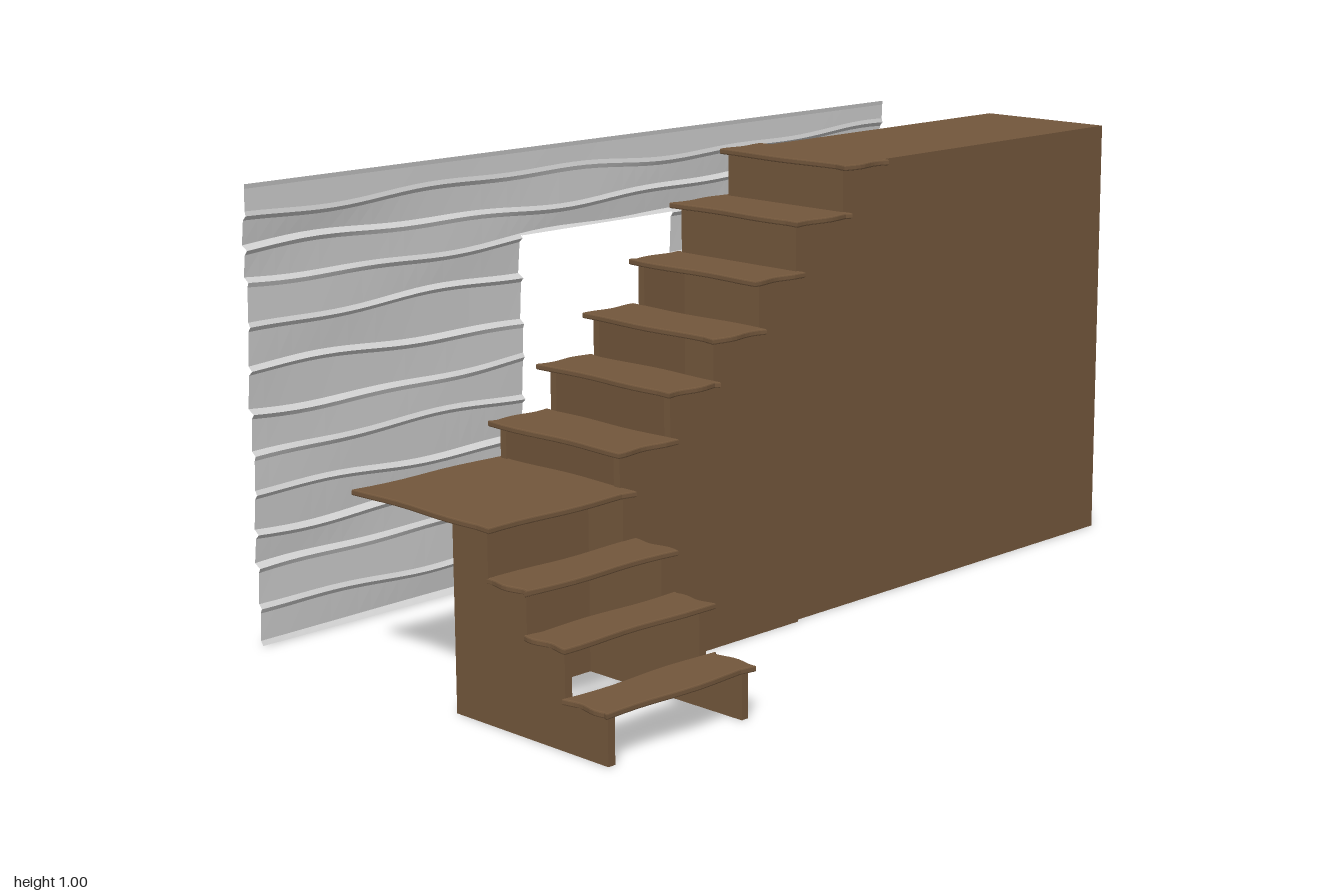
import * as THREE from 'three';

const wood = new THREE.MeshStandardMaterial({ color: 0x73573c, side: THREE.DoubleSide });
wood.name = 'brown wood';
const siding = new THREE.MeshStandardMaterial({ color: 0xcfcfcf, side: THREE.DoubleSide, flatShading: true });
siding.name = 'pale grey siding';

function add(group, name, geometry, material = wood) {
  const mesh = new THREE.Mesh(geometry, material);
  mesh.name = name;
  group.add(mesh);
  return mesh;
}

const outline = pts => new THREE.Shape(pts.map(p => new THREE.Vector2(p[0], p[1])));

// Thin board lying flat with gently worn, wavy edges and rounded rims
function treadGeometry(x0, x1, z0, z1, top, seed) {
  const pts = [], n = 10, a = 0.004, b = 0.003;
  const wave = (t, k) => a * Math.sin(t * 8 + seed * 2.1 + k) - a;
  for (let i = 0; i < n; i++) pts.push([x0 + b + (x1 - x0 - 2 * b) * i / n, -(z1 - b + wave(i / n, 0))]);
  for (let i = 0; i < n; i++) pts.push([x1 - b + wave(i / n, 1), -(z1 - b - (z1 - z0 - 2 * b) * i / n)]);
  for (let i = 0; i < n; i++) pts.push([x1 - b - (x1 - x0 - 2 * b) * i / n, -(z0 + b - wave(i / n, 2))]);
  for (let i = 0; i < n; i++) pts.push([x0 + b - wave(i / n, 3), -(z0 + b + (z1 - z0 - 2 * b) * i / n)]);
  const g = new THREE.ExtrudeGeometry(outline(pts), {
    depth: 0.007, bevelThickness: b, bevelSize: b, bevelSegments: 2,
  });
  g.rotateX(-Math.PI / 2);
  return g.translate(0, top - 0.007 - b, 0);
}

// Upright rectangle facing +z, optionally turned to face +x
function panel(w, h, x, y, z, turned) {
  const g = new THREE.PlaneGeometry(w, h);
  if (turned) g.rotateY(Math.PI / 2);
  return g.translate(x, y, z);
}

// Stretch of wavy lapped boards between two z positions, cut off below yMin
function boards(z0, z1, yMin) {
  const seams = [0, 0.08, 0.17, 0.25, 0.33, 0.42, 0.51, 0.6, 0.7, 0.79, 0.86, 0.935, 1];
  const seamY = (k, z) => (k === 0 || k === seams.length - 1) ? seams[k]
    : seams[k] + 0.007 * Math.sin(z * 5 + k * 2.3) + 0.004 * Math.sin(z * 13 + k * 4.1);
  const pos = [], index = [];
  const cols = Math.max(4, Math.round((z1 - z0) * 26));
  for (let k = 0; k < seams.length - 1; k++) {
    if (seams[k + 1] <= yMin - 0.02) continue;
    const base = pos.length / 3;
    for (let i = 0; i <= cols; i++) {
      const z = z0 + (z1 - z0) * i / cols;
      const lo = seamY(k, z), hi = seamY(k + 1, z);
      const out = k === seams.length - 2 ? 0.003 : 0.012 + 0.006 * Math.sin(z * 4 + k * 1.7);
      const section = [[0, lo], [out, lo + 0.01], [out * 0.6, hi - 0.01], [0, hi]];
      for (const [d, y] of section) pos.push(-0.532 - d, Math.max(y, yMin), z);
    }
    for (let i = 0; i < cols; i++) for (let j = 0; j < 3; j++) {
      const a = base + i * 4 + j, b = a + 4;
      index.push(a, b, a + 1, b, b + 1, a + 1);
    }
  }
  const g = new THREE.BufferGeometry();
  g.setAttribute('position', new THREE.Float32BufferAttribute(pos, 3));
  g.setIndex(index);
  g.computeVertexNormals();
  return g;
}

export function createModel() {
  const model = new THREE.Group();
  model.name = 'staircaseWithWall';

  // Board wall with a central doorway
  const wall = new THREE.Group();
  wall.name = 'boardWall';
  add(wall, 'wallFront', boards(0.24, 1, 0), siding);
  add(wall, 'wallBack', boards(-1, -0.24, 0), siding);
  add(wall, 'wallOverDoorway', boards(-0.24, 0.24, 0.8), siding);
  model.add(wall);

  // Upper flight: open treads climbing towards the back
  const upper = new THREE.Group();
  upper.name = 'upperFlight';
  const noses = [0.635, 0.49, 0.36, 0.225, 0.095, -0.06];
  const tops = [0.487, 0.588, 0.681, 0.784, 0.895, 1];
  const lefts = [-0.21, -0.212, -0.212, -0.202, -0.202, -0.203];
  const rights = [0.2, 0.202, 0.203, 0.19, 0.192, 0.192];
  noses.forEach((z, i) => add(upper, 'upperTread',
    treadGeometry(lefts[i], rights[i], i < 5 ? noses[i + 1] - 0.025 : -0.2, z, tops[i], i)));
  const upperSide = [[0.08, 0], [0.615, 0], [0.615, 0.477], [0.47, 0.477], [0.47, 0.578], [0.342, 0.578],
    [0.342, 0.671], [0.205, 0.671], [0.205, 0.774], [0.08, 0.774]];
  for (const x of [-0.17, 0.18]) {
    const g = new THREE.ExtrudeGeometry(outline(upperSide), { depth: 0.018, bevelEnabled: false });
    add(upper, 'upperStringer', g.rotateY(-Math.PI / 2).translate(x, 0, 0));
  }
  model.add(upper);

  // Landing and lower flight turning to the side
  const lower = new THREE.Group();
  lower.name = 'lowerFlight';
  add(lower, 'landing', treadGeometry(-0.208, 0.222, 0.6, 1, 0.407, 7));
  [[0.2, 0.33, 0.302], [0.31, 0.432, 0.211], [0.42, 0.55, 0.109]].forEach(([x0, x1, y], i) =>
    add(lower, 'lowerTread', treadGeometry(x0, x1, 0.592, 1, y, i + 8)));
  const lowerSide = [[0.1, 0], [0.54, 0], [0.54, 0.1], [0.422, 0.1], [0.422, 0.202], [0.315, 0.202],
    [0.315, 0.293], [0.204, 0.293], [0.204, 0.397], [0.1, 0.397]];
  for (const z of [0.612, 0.974]) {
    add(lower, 'lowerStringer', new THREE.ExtrudeGeometry(outline(lowerSide),
      { depth: 0.018, bevelEnabled: false }).translate(0, 0, z));
  }
  add(lower, 'landingWall', panel(0.37, 0.397, 0.1, 0.1985, 0.8, true));
  model.add(lower);

  // Hollow upper storey block, open at the back and underneath
  const block = new THREE.Group();
  block.name = 'upperBlock';
  const blockSide = [[-1, 0], [0.08, 0], [0.08, 0.885], [-0.07, 0.885], [-0.07, 0.99], [-0.19, 0.99],
    [-0.19, 0.998], [-1, 0.998]];
  for (const x of [-0.178, 0.17]) {
    const g = new THREE.ShapeGeometry(outline(blockSide)).rotateY(-Math.PI / 2);
    if (x > 0) g.setIndex(Array.from(g.index.array).reverse()), g.computeVertexNormals();
    add(block, 'blockSide', g.translate(x, 0, 0));
  }
  add(block, 'blockTop', new THREE.PlaneGeometry(0.348, 0.81).rotateX(-Math.PI / 2).translate(-0.004, 0.998, -0.595));
  add(block, 'blockFront', panel(0.348, 0.885, -0.004, 0.4425, 0.08));
  add(block, 'topRiser', panel(0.348, 0.105, -0.004, 0.9375, -0.07));
  model.add(block);

  return model;
}
